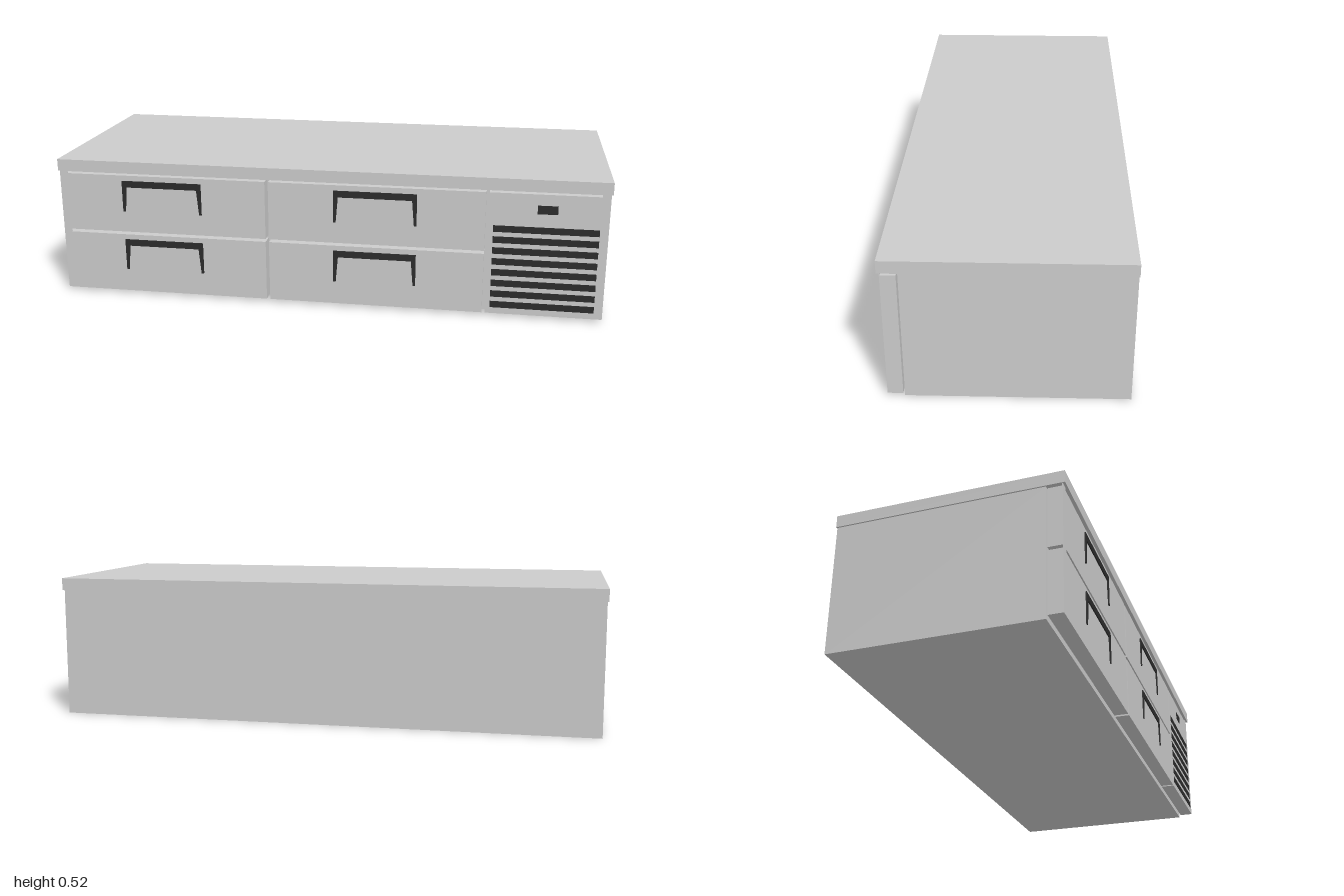
import * as THREE from 'three';

const steel = new THREE.MeshStandardMaterial({ color: 0xcccccc });
const dark = new THREE.MeshStandardMaterial({ color: 0x2b2b2b });

// Box given by its min and max on each axis
function block(name, [x0, x1], [y0, y1], [z0, z1], material = steel) {
  const mesh = new THREE.Mesh(new THREE.BoxGeometry(x1 - x0, y1 - y0, z1 - z0), material);
  mesh.position.set((x0 + x1) / 2, (y0 + y1) / 2, (z0 + z1) / 2);
  mesh.name = name;
  return mesh;
}

// Downward-open frame with legs that taper toward the bottom
function pullHandle(x, y) {
  const w = 0.15, h = 0.118;
  const shape = new THREE.Shape([
    [-w, 0], [-w, h], [w, h], [w, 0],
    [w - 0.009, 0], [w - 0.017, h - 0.024], [-w + 0.017, h - 0.024], [-w + 0.009, 0],
  ].map(([px, py]) => new THREE.Vector2(px, py)));
  const geometry = new THREE.ExtrudeGeometry(shape, { depth: 0.007, bevelEnabled: false });
  const mesh = new THREE.Mesh(geometry, dark);
  mesh.position.set(x, y, 0.388);
  mesh.name = 'drawerHandle';
  return mesh;
}

export function createModel() {
  const model = new THREE.Group();
  model.name = 'drawerCabinet';

  // Cabinet body and worktop
  model.add(block('body', [-0.995, 0.992], [0, 0.473], [-0.397, 0.335]));
  model.add(block('worktop', [-1, 1], [0.473, 0.517], [-0.399, 0.399]));

  // Two columns of two drawers, standing just clear of the body
  const front = [0.34, 0.391];
  const columns = [{ x: [-0.997, -0.22], handle: -0.608 }, { x: [-0.207, 0.572], handle: 0.181 }];
  const rows = [{ y: [0.011, 0.235], handle: 0.098 }, { y: [0.246, 0.463], handle: 0.325 }];
  for (const column of columns) {
    for (const row of rows) {
      const drawer = new THREE.Group();
      drawer.name = 'drawer';
      drawer.add(block('drawerFront', column.x, row.y, front));
      drawer.add(pullHandle(column.handle, row.handle));
      model.add(drawer);
    }
  }

  // Machine compartment with its display and vent slots
  const machine = new THREE.Group();
  machine.name = 'machineCompartment';
  machine.add(block('machinePanel', [0.583, 0.995], [0.011, 0.463], front));
  machine.add(block('display', [0.75, 0.82], [0.392, 0.423], [0.388, 0.3925], dark));
  for (let i = 0; i < 8; i++) {
    const y = 0.046 + i * 0.0408;
    machine.add(block('ventSlot', [0.6, 0.965], [y - 0.012, y + 0.012], [0.388, 0.3925], dark));
  }
  model.add(machine);

  // Thin trim closing the ends of the gaps
  const trim = [0.389, 0.391];
  model.add(block('topGapTrim', [-0.997, -0.967], [0.463, 0.473], trim));
  model.add(block('topGapTrim', [0.965, 0.995], [0.463, 0.473], trim));
  model.add(block('middleGapTrim', [-0.997, -0.967], [0.235, 0.246], trim));

  return model;
}
